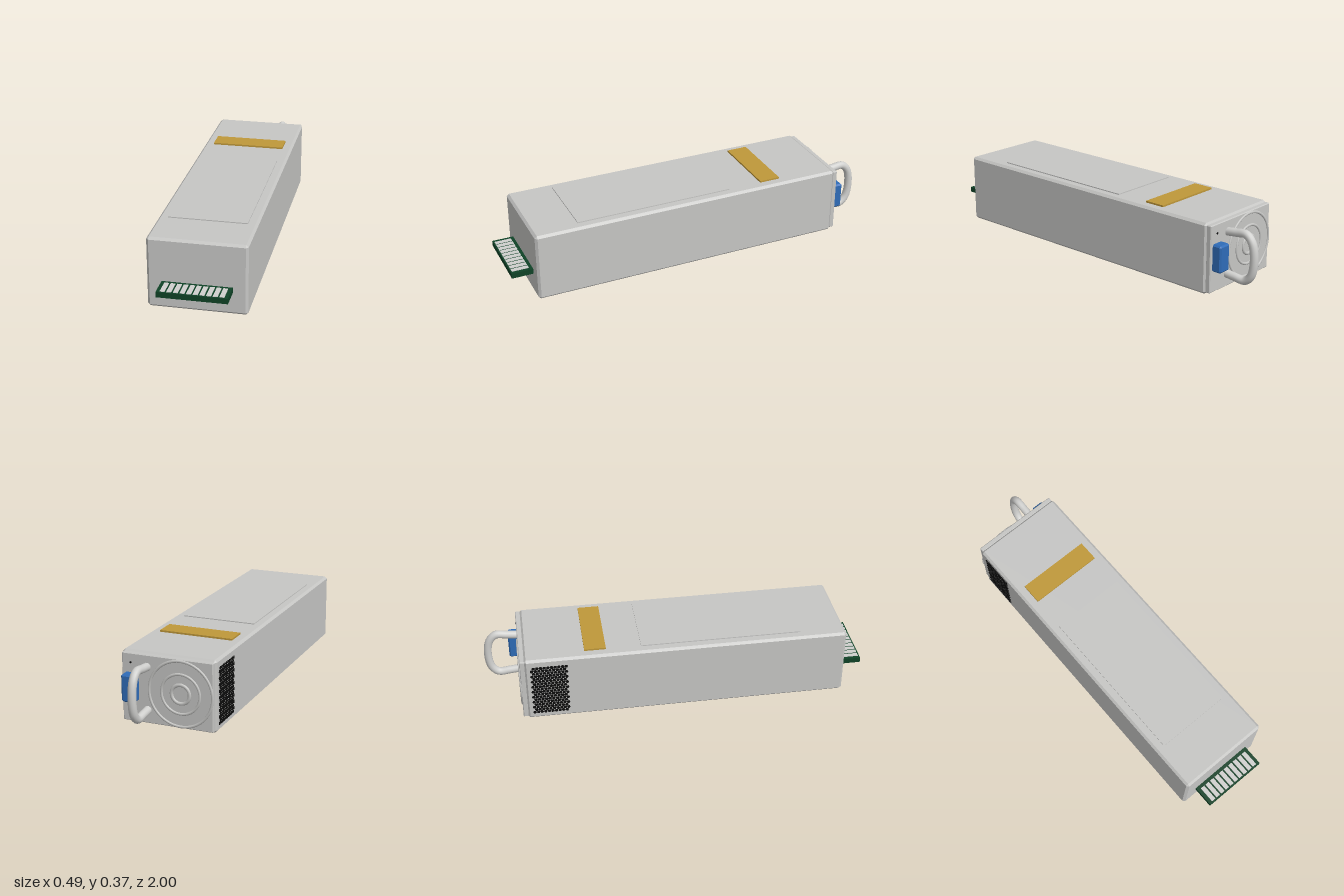
import * as THREE from 'three';
import { mergeGeometries } from 'three/addons/utils/BufferGeometryUtils.js';
import { ConvexGeometry } from 'three/addons/geometries/ConvexGeometry.js';

const paint = (name, color) => {
  const m = new THREE.MeshStandardMaterial({ color });
  m.name = name;
  return m;
};

// Box with every edge cut at 45 degrees, given by its min and max corners
function chamferBox(min, max, c) {
  const mid = min.map((v, i) => (v + max[i]) / 2);
  const half = min.map((v, i) => (max[i] - v) / 2);
  const points = [];
  for (const sx of [-1, 1]) for (const sy of [-1, 1]) for (const sz of [-1, 1]) {
    for (let full = 0; full < 3; full++) {
      const p = [sx, sy, sz].map((s, i) => mid[i] + s * (half[i] - (i === full ? 0 : c)));
      points.push(new THREE.Vector3(...p));
    }
  }
  return new ConvexGeometry(points);
}

function box(min, max) {
  const g = new THREE.BoxGeometry(max[0] - min[0], max[1] - min[1], max[2] - min[2]);
  return g.translate((min[0] + max[0]) / 2, (min[1] + max[1]) / 2, (min[2] + max[2]) / 2);
}

export function createModel() {
  const steel = paint('steel', 0xc6c6c4);
  const lightMetal = paint('light metal', 0xd0d0ce);
  const gold = paint('gold label', 0xbf983a);
  const blue = paint('blue plastic', 0x2f6cb8);
  const green = paint('circuit green', 0x0f4226);
  const black = paint('black', 0x0c0c0c);

  const model = new THREE.Group();
  model.name = 'powerModule';
  const add = (name, geometry, material) => {
    const mesh = new THREE.Mesh(geometry, material);
    mesh.name = name;
    model.add(mesh);
    return mesh;
  };

  // Housing and rear plate
  add('housing', chamferBox([-0.245, 0, -0.795], [0.245, 0.365, 0.887], 0.012), steel);
  add('rearPlate', chamferBox([-0.238, 0.01, -0.818], [0.238, 0.357, -0.79], 0.004), steel);

  // Raised plates on the lid
  add('lidPanel', box([-0.197, 0.363, -0.19], [0.197, 0.37, 0.65]), steel);
  add('lidLabel', box([-0.195, 0.365, -0.483], [0.195, 0.374, -0.372]), gold);

  // Edge connector with ten contact strips
  add('circuitBoard', box([-0.172, 0.115, 0.86], [0.172, 0.143, 1]), green);
  const contacts = [];
  for (let i = 0; i < 10; i++) {
    const x = (i - 4.5) * 0.0316;
    contacts.push(box([x - 0.0115, 0.142, 0.905], [x + 0.0115, 0.146, 0.993]));
  }
  add('contacts', mergeGeometries(contacts), lightMetal);

  // Fan guard rings
  [[0.165, 0.007], [0.1, 0.007], [0.047, 0.009]].forEach(([radius, tube], i) => {
    const ring = new THREE.TorusGeometry(radius, tube, 10, 56);
    ring.scale(1, 1, 0.8).translate(-0.07, 0.182, -0.819);
    add('fanRing' + (i + 1), ring, steel);
  });

  // Pull handle
  const path = new THREE.CatmullRomCurve3([
    [0.295, -0.8], [0.303, -0.87], [0.307, -0.93], [0.27, -0.965], [0.188, -0.979],
    [0.105, -0.965], [0.07, -0.93], [0.073, -0.87], [0.08, -0.8],
  ].map(([y, z]) => new THREE.Vector3(0.105, y, z)));
  add('handle', new THREE.TubeGeometry(path, 56, 0.021, 14), lightMetal);

  // Release latch and status light
  add('latch', chamferBox([0.15, 0.12, -0.867], [0.222, 0.26, -0.81], 0.008), blue);
  const light = new THREE.CylinderGeometry(0.005, 0.005, 0.006, 12);
  add('statusLight', light.rotateX(Math.PI / 2).translate(0.19, 0.31, -0.818), black);

  // Dense side vent of staggered hexagonal holes
  const holes = [];
  for (let row = 0; row < 18; row++) {
    for (let col = 0; col < 10; col++) {
      const hole = new THREE.CylinderGeometry(0.0092, 0.0092, 0.003, 6);
      hole.rotateZ(Math.PI / 2);
      hole.translate(-0.245, 0.04 + row * 0.0163, -0.758 + (col + (row % 2) / 2) * 0.0186);
      holes.push(hole);
    }
  }
  add('sideVent', mergeGeometries(holes), black);

  return model;
}
